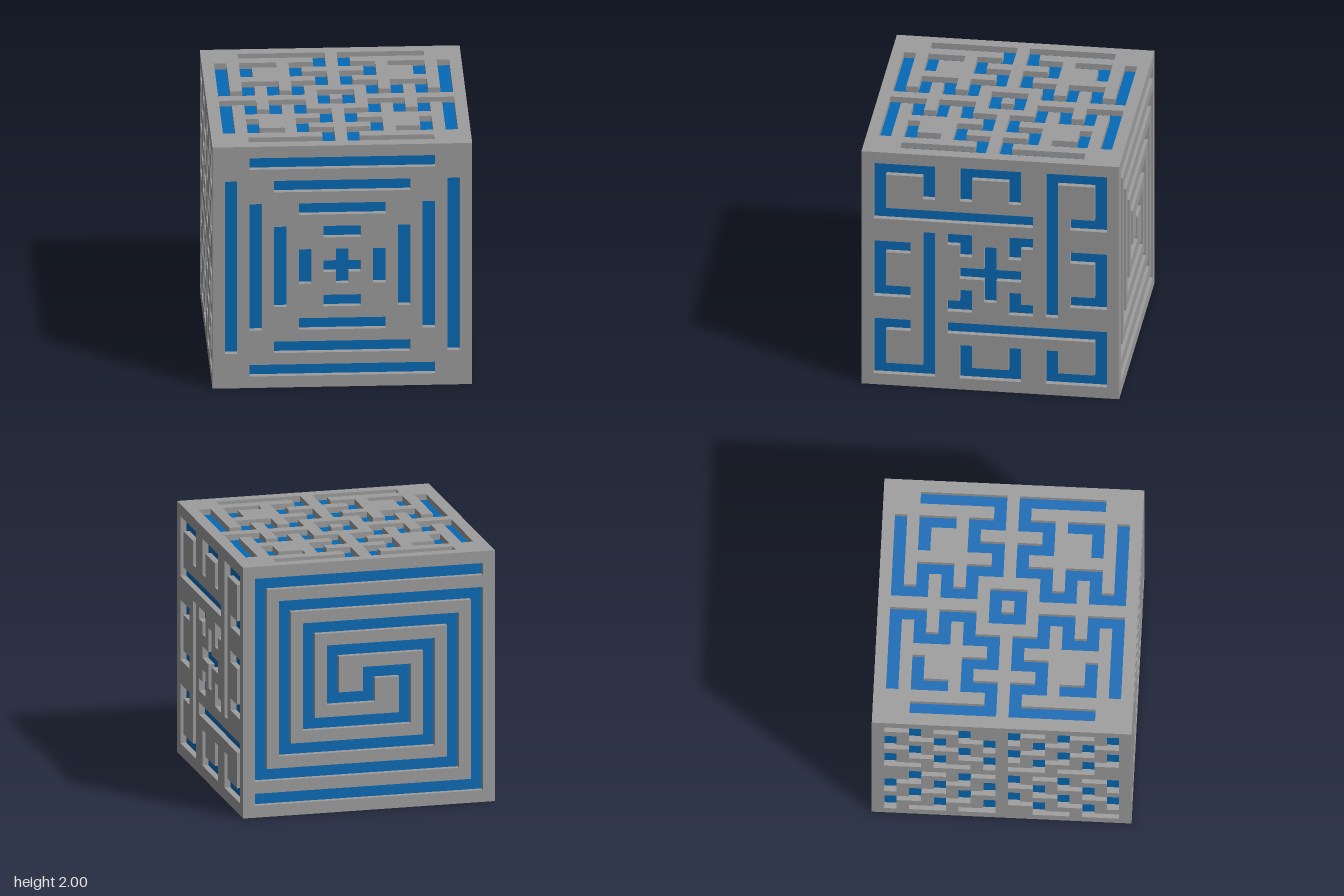
import * as THREE from 'three';
import { mergeGeometries } from 'three/addons/utils/BufferGeometryUtils.js';

// Each face is a grid of N x N cells; grooves are one cell wide.
const N = 21, M = N - 1, CELL = 2 / N, DEPTH = CELL / 2;

// Symmetry helpers on paths of [column, row] points (row 0 at the top)
const turn = paths => paths.map(p => p.map(([c, r]) => [M - r, c]));
const flipX = paths => paths.map(p => p.map(([c, r]) => [M - c, r]));
const flipY = paths => paths.map(p => p.map(([c, r]) => [c, M - r]));
const half = paths => [...paths, ...turn(turn(paths))];
const quarter = paths => half([...paths, ...turn(paths)]);
const mirror4 = paths => {
  const both = [...paths, ...flipX(paths)];
  return [...both, ...flipY(both)];
};

// Front: nested bars round a small cross
const bars = [1, 3, 5, 7].map(i => [[i + 2, i], [M - i - 2, i]]);
const frontPaths = quarter([...bars, [[10, 9], [10, 10]]]);

// Right: hooks and brackets round a cross with four corner pieces
const rightPaths = [
  ...quarter([
    [[5, 3], [5, 1], [1, 1], [1, 5], [13, 5]],
    [[8, 3], [8, 1], [12, 1], [12, 3]],
    [[10, 8], [10, 10]],
  ]),
  ...mirror4([[[7, 7], [8, 7], [8, 8]]]),
];

// Top: meander in each quadrant, square ring in the middle
const topPaths = [
  ...mirror4([
    [[3, 1], [9, 1], [9, 3], [7, 3], [7, 5], [9, 5], [9, 7], [7, 7], [7, 9],
      [5, 9], [5, 7], [3, 7], [3, 9], [1, 9], [1, 3]],
    [[5, 3], [3, 3], [3, 5]],
  ]),
  [[9, 9], [11, 9], [11, 11], [9, 11], [9, 9]],
];

// Back: double-armed square spiral joined at the centre
const backPaths = half([
  [[19, 1], [1, 1], [1, 17], [17, 17], [17, 5], [5, 5], [5, 13], [13, 13],
    [13, 9], [10, 9], [10, 10]],
]);

// Left: parallel staircases turned round the centre
const leftPaths = quarter([
  [[1, 1], [3, 1], [3, 3], [5, 3], [5, 5], [7, 5], [7, 7], [9, 7], [9, 9]],
  [[5, 1], [7, 1], [7, 3], [9, 3], [9, 5]],
  [[1, 3], [1, 5], [3, 5], [3, 7], [5, 7], [5, 9], [7, 9]],
  [[1, 7], [1, 9], [3, 9]],
]);

// Bottom: corner angles, H-shaped pieces between them, square ring, small chevrons
const bottomPaths = quarter([
  [[6, 1], [1, 1], [1, 6]],
  [[8, 1], [12, 1]],
  [[10, 1], [10, 3]],
  [[8, 3], [12, 3]],
  [[5, 5], [15, 5]],
  [[3, 4], [4, 4], [4, 3]],
  [[7, 8], [8, 8], [8, 7]],
]);

// Mark every cell that the paths run through
function carve(paths) {
  const grid = Array.from({ length: N }, () => new Array(N).fill(false));
  for (const path of paths) {
    for (let i = 1; i < path.length; i++) {
      const [c0, r0] = path[i - 1], [c1, r1] = path[i];
      for (let r = Math.min(r0, r1); r <= Math.max(r0, r1); r++)
        for (let c = Math.min(c0, c1); c <= Math.max(c0, c1); c++) grid[r][c] = true;
    }
  }
  return grid;
}

const centre = i => -1 + (i + 0.5) * CELL;

// One face looking along +z: raised surface and groove walls, plus groove floors
function buildFace(paths) {
  const grid = carve(paths), raised = [], floors = [];
  for (let r = 0; r < N; r++) {
    // Merge neighbouring cells of a row into strips
    for (let c = 0; c < N;) {
      let end = c;
      while (end < N && grid[r][end] === grid[r][c]) end++;
      const groove = grid[r][c];
      const strip = new THREE.PlaneGeometry((end - c) * CELL, CELL);
      strip.translate((centre(c) + centre(end - 1)) / 2, -centre(r), groove ? 1 - DEPTH : 1);
      (groove ? floors : raised).push(strip);
      c = end;
    }
    // Walls wherever a groove cell meets a raised cell
    for (let c = 0; c < N; c++) {
      if (!grid[r][c]) continue;
      for (let k = 0; k < 4; k++) {
        const a = k * Math.PI / 2;
        const nx = Math.round(-Math.sin(a)), ny = Math.round(Math.cos(a));
        if (grid[r + ny][c - nx]) continue;
        const wall = new THREE.PlaneGeometry(CELL, DEPTH).rotateX(-Math.PI / 2).rotateZ(a);
        wall.translate(centre(c) - nx * CELL / 2, -centre(r) - ny * CELL / 2, 1 - DEPTH / 2);
        raised.push(wall);
      }
    }
  }
  return [mergeGeometries(raised), mergeGeometries(floors)];
}

export function createModel() {
  const grey = new THREE.MeshStandardMaterial({ color: 0x9d9d9d });
  const blue = new THREE.MeshStandardMaterial({ color: 0x066ab6 });
  const q = Math.PI / 2;
  const faces = [
    ['front', frontPaths, 0, 0],
    ['right', rightPaths, 0, q],
    ['back', backPaths, 0, 2 * q],
    ['left', leftPaths, 0, -q],
    ['top', topPaths, -q, 0],
    ['bottom', bottomPaths, q, 0],
  ];
  const model = new THREE.Group();
  model.name = 'groovedCube';
  for (const [name, paths, rx, ry] of faces) {
    const [raised, floors] = buildFace(paths);
    const face = new THREE.Group();
    face.name = name + 'Face';
    const surface = new THREE.Mesh(raised, grey);
    surface.name = name + 'Surface';
    const floor = new THREE.Mesh(floors, blue);
    floor.name = name + 'GrooveFloor';
    face.add(surface, floor);
    face.rotation.set(rx, ry, 0);
    face.position.y = 1;
    model.add(face);
  }
  return model;
}
